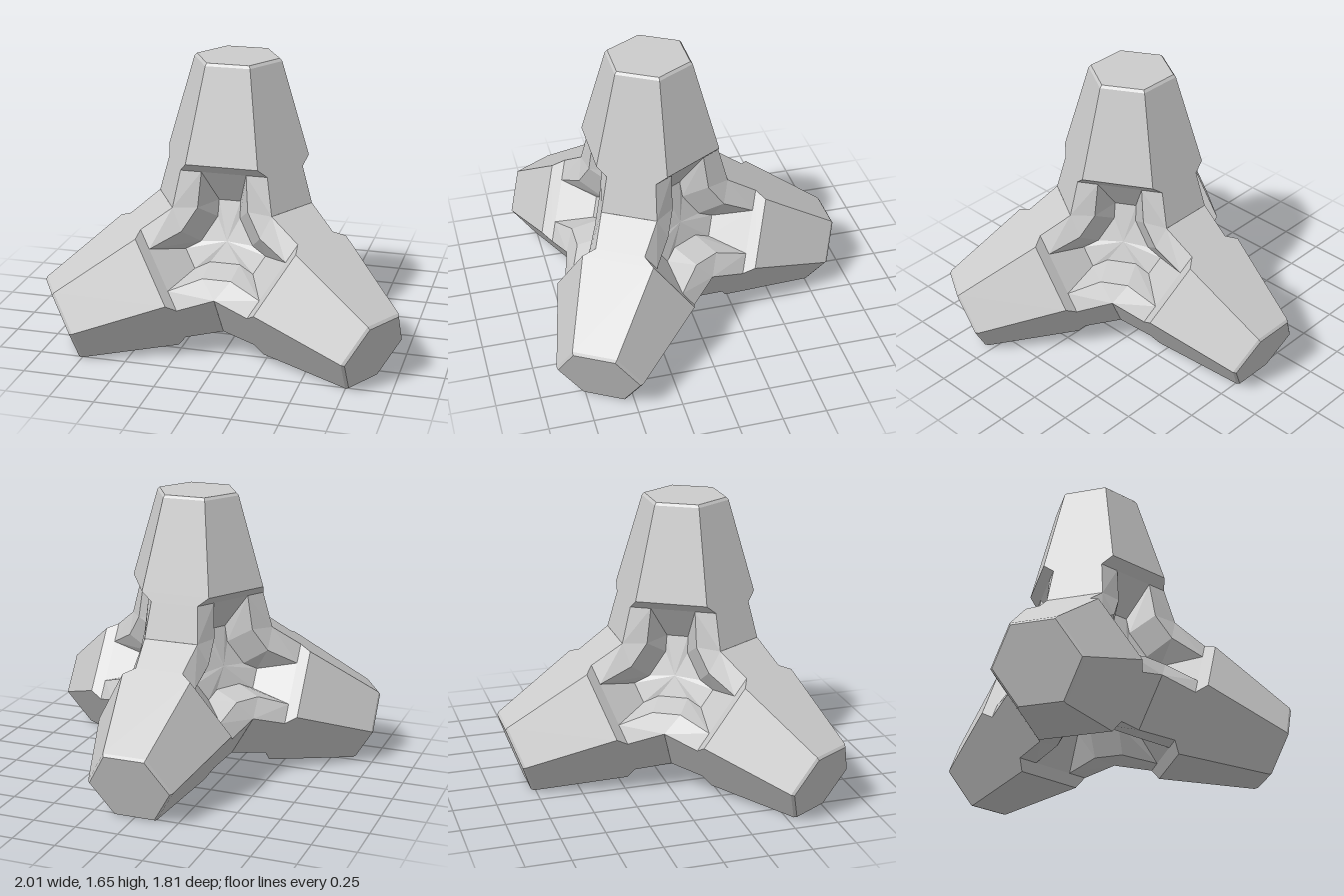
import * as THREE from 'three';

const TURN = (2 * Math.PI) / 3;
const UP = new THREE.Vector3(0, 1, 0);
const v = (x, y, z) => new THREE.Vector3(x, y, z);
const mirror = (p) => v(-p.x, p.y, p.z);
const turned = (p, k) => p.clone().applyAxisAngle(UP, k * TURN);

// Flat-shaded geometry from convex polygons, each repeated three times around the y axis
function threefold(faces) {
  const pos = [];
  for (let k = 0; k < 3; k++) {
    for (const f of faces) {
      const p = f.map((q) => turned(q, k));
      for (let i = 1; i < p.length - 1; i++) {
        for (const q of [p[0], p[i], p[i + 1]]) pos.push(q.x, q.y, q.z);
      }
    }
  }
  const g = new THREE.BufferGeometry();
  g.setAttribute('position', new THREE.Float32BufferAttribute(pos, 3));
  g.computeVertexNormals();
  return g;
}

// Tapered hexagonal leg: distance of its sides from the axis at height t
const apothem = (t) => 0.35 - 0.258 * (t - 0.55);
// Point on the side that runs into a neighbouring leg, w off its centre line
function onSide(t, w = apothem(t) / Math.sqrt(3), a = apothem(t)) {
  const c = Math.sqrt(3) / 2;
  return v(c * a - 0.5 * w, t, 0.5 * a + c * w);
}

// Corners along one leg edge, from the crotch between legs to the tip
const crotchT = 0.492 / (Math.SQRT2 + 0.258);
const crotch = onSide(crotchT, 0.16);
const lip = onSide(0.5, 0.14);
const shoulder = onSide(0.55);
const rim = onSide(1.07);
const tip = onSide(1.085, 0.118, 0.204);
const pocketTop = v(0.126, lip.y, lip.z);

// Carries a leg point into the frame of the recess it borders (recess faces -y)
function toRecess(p) {
  const s = Math.sqrt(8) / 3, c = Math.sqrt(3) / 2;
  const d = p.y / 3 + s * p.z;
  const h = s * p.y - p.z / 3;
  return v(-0.5 * p.x + c * h, -d, c * p.x + 0.5 * h);
}

function legGeometry() {
  const edge = [crotch, lip, shoulder, rim, tip];
  const faces = [];
  for (let i = 0; i < edge.length - 1; i++) {
    const a = edge[i], b = edge[i + 1];
    // side shared with a neighbouring leg
    faces.push([a, turned(mirror(a), 1), turned(mirror(b), 1), b]);
    // notch bevel, side above the recess and tip chamfer
    if (i > 0) faces.push([mirror(a), a, b, mirror(b)]);
  }
  // end cap
  const top = v(0, tip.y, 0);
  faces.push([mirror(tip), tip, top], [tip, turned(mirror(tip), 1), top]);
  return threefold(faces);
}

function recessGeometry() {
  const ridge = toRecess(crotch);
  const R = {
    lip: toRecess(lip),
    pocket: toRecess(pocketTop),
    brow: v(0.08, -0.41, 0.21),
    floor: v(0.084, -0.258, 0.122),
    corner: v(0.167, -0.27, 0.167),
  };
  const L = {};
  for (const key in R) L[key] = mirror(R[key]);
  const centre = v(0, -0.258, 0);
  const nextCorner = turned(L.corner, 1), nextPocket = turned(L.pocket, 1);
  return threefold([
    // sloping buttress top
    [ridge, L.brow, R.brow],
    [ridge, L.lip, L.pocket], [ridge, L.pocket, L.brow],
    [ridge, R.pocket, R.lip], [ridge, R.brow, R.pocket],
    // buttress walls
    [L.brow, L.floor, R.floor, R.brow],
    [R.brow, R.floor, R.corner, R.pocket],
    [L.pocket, L.corner, L.floor, L.brow],
    // pocket cut under the leg
    [R.pocket, R.corner, nextCorner, nextPocket],
    // floor
    [centre, R.floor, L.floor], [centre, R.corner, R.floor],
    [centre, L.floor, L.corner], [centre, nextCorner, R.corner],
  ]);
}

export function createModel() {
  const model = new THREE.Group();
  model.name = 'tetrapodBlock';
  const material = new THREE.MeshStandardMaterial({ color: 0xcccccc, flatShading: true });
  const leg = legGeometry(), recess = recessGeometry();

  // Each arm holds one leg and the recess on the opposite side of the block
  const names = ['upper', 'back', 'frontLeft', 'frontRight'];
  names.forEach((name, i) => {
    const arm = new THREE.Group();
    arm.name = name + 'Arm';
    const legMesh = new THREE.Mesh(leg, material);
    legMesh.name = name + 'Leg';
    const recessMesh = new THREE.Mesh(recess, material);
    recessMesh.name = name + 'OppositeRecess';
    arm.add(legMesh, recessMesh);
    if (i > 0) {
      // back leg first, then swung round to the two front legs
      arm.rotation.set(Math.PI - Math.acos(-1 / 3), -(i - 1) * TURN, Math.PI, 'YXZ');
    }
    arm.position.set(0, 0.56, 0.18);
    model.add(arm);
  });
  return model;
}
